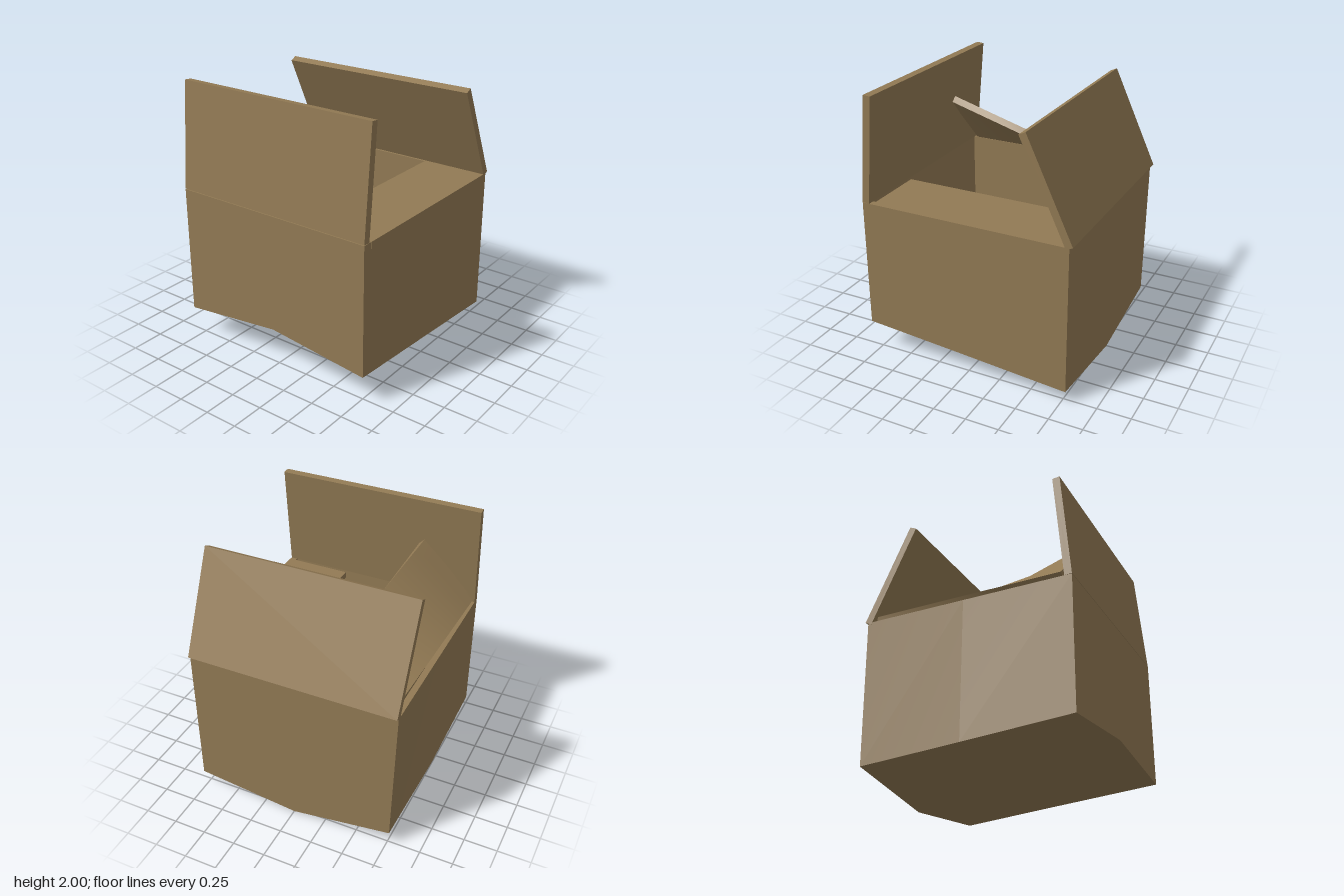
import * as THREE from 'three';
import { toCreasedNormals } from 'three/addons/utils/BufferGeometryUtils.js';

const UP = new THREE.Vector3(0, 1, 0);
const V = (x, y, z) => new THREE.Vector3(x, y, z);

// Skin a list of closed rings (arrays of Vector3, equal length); collapsed rings act as caps.
function skin(rings) {
  const pos = [];
  const tri = (a, b, c) => {
    const area = b.clone().sub(a).cross(c.clone().sub(a)).length();
    if (area > 1e-7) pos.push(...a.toArray(), ...b.toArray(), ...c.toArray());
  };
  for (let r = 0; r < rings.length - 1; r++) {
    const a = rings[r], b = rings[r + 1], n = a.length;
    for (let i = 0; i < n; i++) {
      const j = (i + 1) % n;
      tri(a[i], a[j], b[j]);
      tri(a[i], b[j], b[i]);
    }
  }
  const geo = new THREE.BufferGeometry();
  geo.setAttribute('position', new THREE.Float32BufferAttribute(pos, 3));
  return toCreasedNormals(geo, 0.5);
}

// Flap: a slab swung up by an angle (degrees) from the inward direction, which may twist along its hinge.
function flapGeometry({ hinge, inward, halfWidth, angles, lengths, thickness = 0.055 }) {
  const along = inward.clone().cross(UP);
  const ends = [-1, 1].map((side, k) => {
    const t = THREE.MathUtils.degToRad(angles[k]);
    const dir = inward.clone().multiplyScalar(Math.cos(t)).addScaledVector(UP, Math.sin(t));
    const normal = inward.clone().multiplyScalar(-Math.sin(t)).addScaledVector(UP, Math.cos(t));
    const p = hinge.clone().addScaledVector(along, side * halfWidth);
    const q = p.clone().addScaledVector(dir, lengths[k]);
    return [p, q, q.clone().addScaledVector(normal, thickness), p.clone().addScaledVector(normal, thickness)];
  });
  const steps = angles[0] === angles[1] ? 1 : 10;
  const rings = [];
  for (let s = 0; s <= steps; s++) rings.push(ends[0].map((p, i) => p.clone().lerp(ends[1][i], s / steps)));
  const cap = (ring) => {
    const c = ring.reduce((sum, p) => sum.add(p), V(0, 0, 0)).divideScalar(4);
    return ring.map(() => c);
  };
  return skin([cap(rings[0]), ...rings, cap(rings[steps])]);
}

export function createModel() {
  const group = new THREE.Group();
  const cardboard = new THREE.MeshStandardMaterial({ color: 0x927a54 });
  cardboard.name = 'cardboard brown';
  const add = (name, geo) => {
    const mesh = new THREE.Mesh(geo, cardboard);
    mesh.name = name;
    group.add(mesh);
  };

  // Open box: corners and wall midpoints as [side x, side z, bottom height], sagging towards the back
  const outline = [
    [1, 1, 0.22], [1, 0, 0.155], [1, -1, 0.09], [0, -1, 0],
    [-1, -1, 0.12], [-1, 0, 0.16], [-1, 1, 0.22], [0, 1, 0.31],
  ];
  const wall = 0.05, rim = 1.2;
  const ring = (inset, height) => outline.map(([sx, sz, y]) => V(
    sx * ((sx > 0 ? 0.79 : 0.8) - inset),
    height ?? y + inset,
    sz * ((sz > 0 ? 0.81 : 0.78) - inset)));
  const outerBottom = ring(0);
  outerBottom[4].x = -0.77; // pinched corner
  const centre = (y) => outline.map(() => V(0, y, 0));
  add('box', skin([
    centre(0.16), outerBottom, ring(0, rim), ring(wall, rim), ring(wall), centre(0.16 + wall),
  ]));

  // Four lid flaps
  add('frontFlap', flapGeometry({
    hinge: V(-0.005, rim, 0.755), inward: V(0, 0, -1), halfWidth: 0.795, angles: [85, 85], lengths: [0.8, 0.8],
  }));
  add('backFlap', flapGeometry({
    hinge: V(-0.005, 1.185, -0.755), inward: V(0, 0, 1), halfWidth: 0.795, angles: [65, 65], lengths: [0.8, 0.8],
  }));
  add('rightFlap', flapGeometry({
    hinge: V(-0.755, rim, 0), inward: V(1, 0, 0), halfWidth: 0.73, angles: [10, 46], lengths: [0.58, 0.6],
  }));
  add('leftFlap', flapGeometry({
    hinge: V(0.793, 1.15, 0), inward: V(-1, 0, 0), halfWidth: 0.73, angles: [0, 0], lengths: [0.51, 0.51], thickness: 0.052,
  }));

  return group;
}
